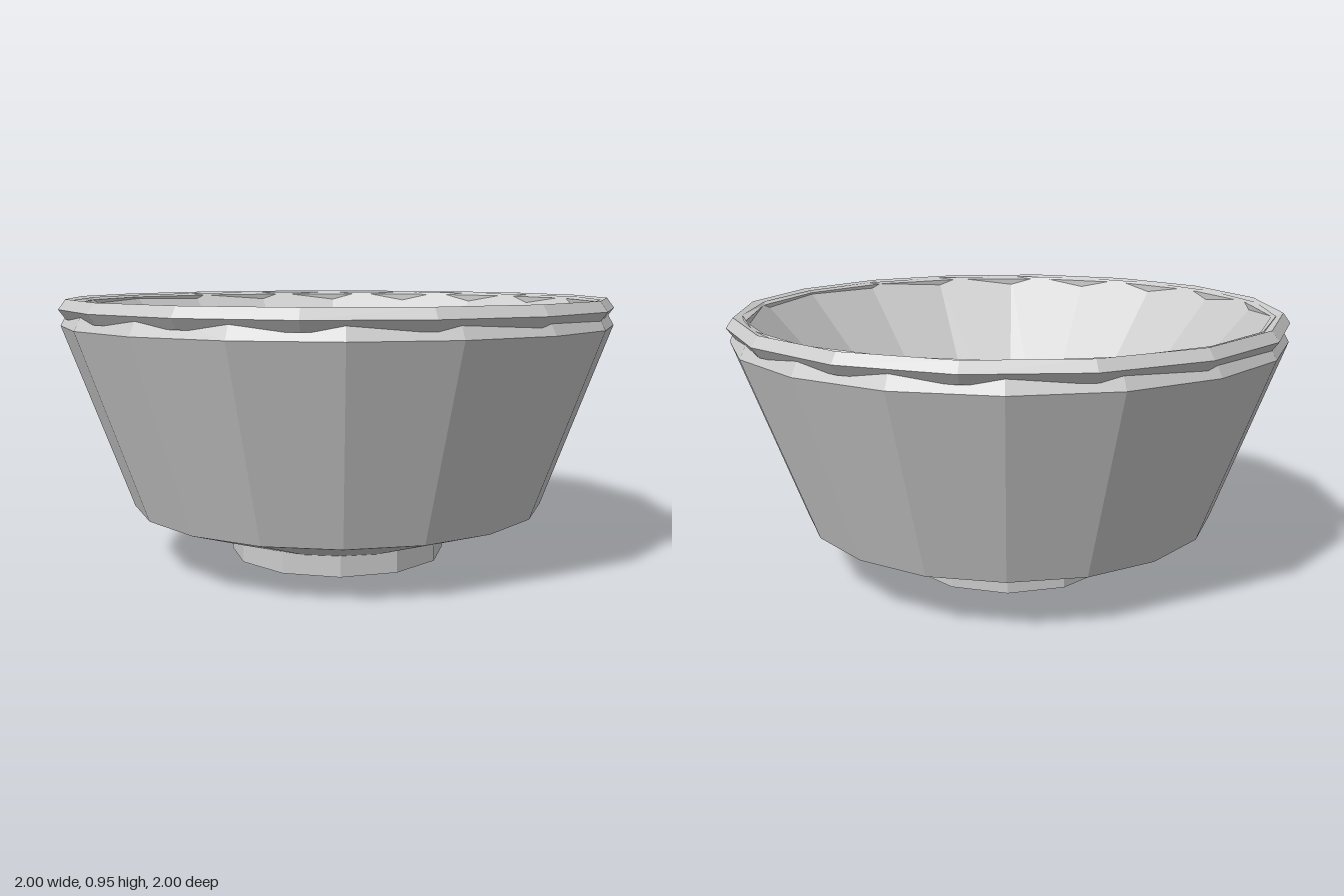
import * as THREE from 'three';

export function createModel() {
  const bowl = new THREE.Group();
  bowl.name = 'bowl';
  const material = new THREE.MeshStandardMaterial({ color: 0xcccccc, flatShading: true });

  const add = (name, geometry, y = 0) => {
    const mesh = new THREE.Mesh(geometry, material);
    mesh.name = name;
    mesh.position.y = y;
    bowl.add(mesh);
    return mesh;
  };

  // Body: outer wall, bevelled lip, inner wall and floor in one profile
  const profile = [
    [0, 0.066], [0.37, 0.066], [0.755, 0.196], [0.995, 0.855],
    [0.946, 0.945], [0.37, 0.3], [0, 0.3],
  ].map(([r, y]) => new THREE.Vector2(r, y));
  add('body', new THREE.LatheGeometry(profile, 18, Math.PI / 18));

  // Rim: slim five-sided ring half buried in the lip
  const ring = new THREE.TorusGeometry(0.963, 0.037, 5, 16);
  ring.rotateX(Math.PI / 2);
  add('rim', ring, 0.915);

  // Foot: short twelve-sided disc, sunk into the base
  add('foot', new THREE.CylinderGeometry(0.4, 0.4, 0.1, 12), 0.05);

  return bowl;
}
